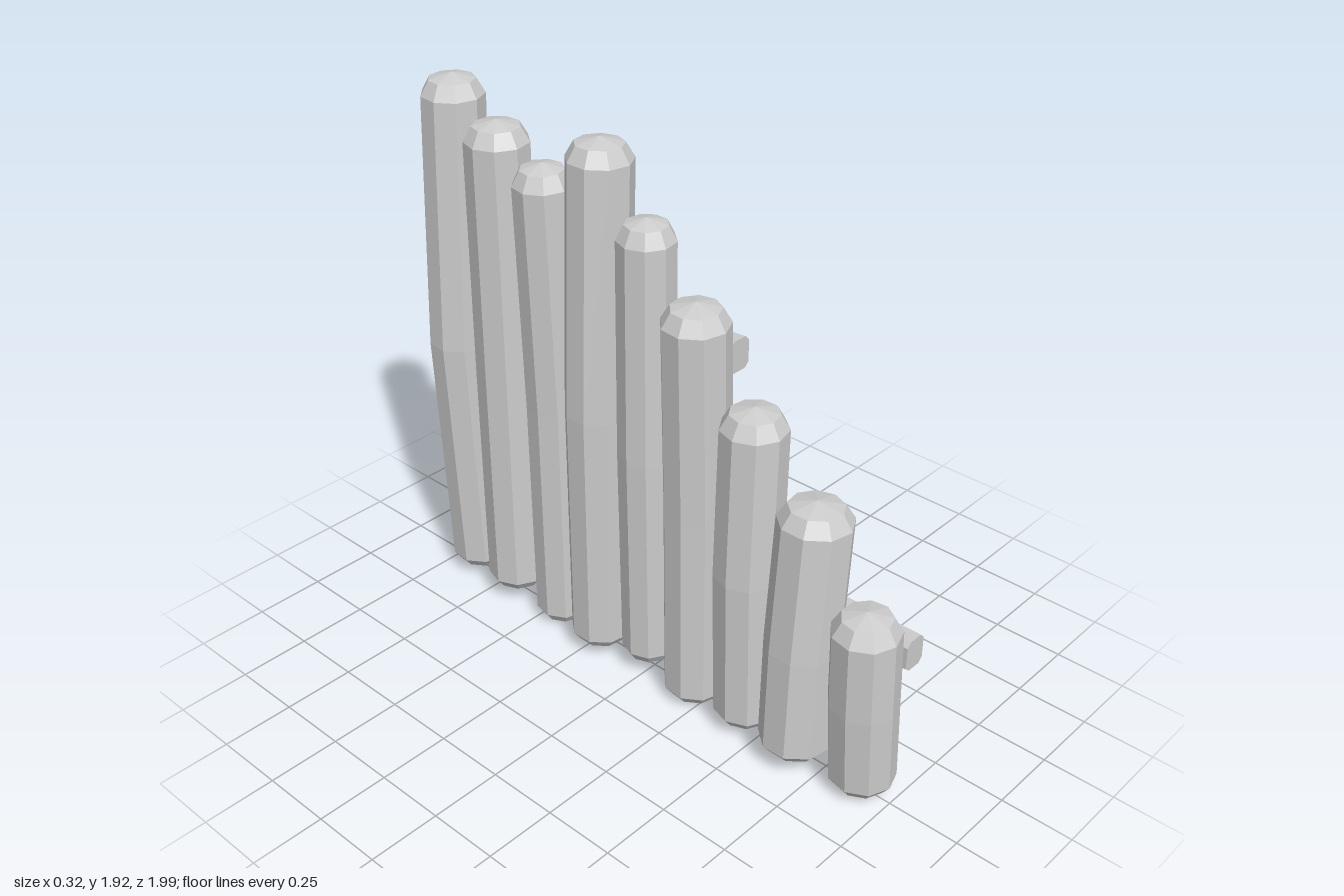
import * as THREE from 'three';

const material = new THREE.MeshStandardMaterial({ color: 0xcccccc, flatShading: true });

// Skins a list of equal rings and closes both ends with a fan to an apex.
// Rings run counter-clockwise seen from the end of the path.
function loft(rings, startApex, endApex) {
  const pos = [];
  const tri = (...pts) => pts.forEach((p) => pos.push(p.x, p.y, p.z));
  const n = rings[0].length;
  const last = rings[rings.length - 1];
  for (let j = 0; j < n; j++) {
    const k = (j + 1) % n;
    for (let i = 0; i < rings.length - 1; i++) {
      const a = rings[i], b = rings[i + 1];
      tri(a[j], a[k], b[k]);
      tri(a[j], b[k], b[j]);
    }
    tri(startApex, rings[0][k], rings[0][j]);
    tri(endApex, last[j], last[k]);
  }
  const geometry = new THREE.BufferGeometry();
  geometry.setAttribute('position', new THREE.Float32BufferAttribute(pos, 3));
  geometry.computeVertexNormals();
  return geometry;
}

// Upright log: bends through x at bottom, middle and top; chamfered ends
function log({ z, r, y0, y1, x, bend = 0.5, turn = 0 }) {
  const sides = 9;
  const ring = (cx, y, radius, tilt = 0) =>
    Array.from({ length: sides }, (_, j) => {
      const a = turn - (j / sides) * Math.PI * 2;
      const dx = Math.cos(a) * radius, dz = Math.sin(a) * radius;
      return new THREE.Vector3(cx + dx, y + dx * tilt, z + dz);
    });
  const [xb, xm, xt] = x;
  const tilt = (xb - xt) * 0.8;
  const rings = [
    ring(xb, y0 + 0.015, r * 0.74),
    ring(xb, y0 + 0.05, r * 0.98),
    ring(xm, y0 + (y1 - y0) * bend, r),
    ring(xt, y1 - 0.07, r * 0.98, tilt),
    ring(xt, y1 - 0.02, r * 0.72, tilt),
  ];
  return loft(rings, new THREE.Vector3(xb, y0, z), new THREE.Vector3(xt, y1, z));
}

// Rail: chamfered bar running toward -z through [z, y] stations
function rail(stations) {
  const x = 0.122, w = 0.042, h = 0.055, c = 0.017;
  const section = [
    [w, -h + c], [w, h - c], [w - c, h], [-w + c, h],
    [-w, h - c], [-w, -h + c], [-w + c, -h], [w - c, -h],
  ].reverse();
  const rings = stations.map(([z, y]) =>
    section.map(([dx, dy]) => new THREE.Vector3(x + dx, y + dy, z)));
  const end = ([z, y]) => new THREE.Vector3(x, y, z);
  return loft(rings, end(stations[0]), end(stations[stations.length - 1]));
}

export function createModel() {
  const group = new THREE.Group();
  group.name = 'logFence';
  const add = (name, geometry) => {
    const mesh = new THREE.Mesh(geometry, material);
    mesh.name = name;
    group.add(mesh);
  };

  // Logs, from the short front one to the tall back one
  const logs = [
    { z: 0.885, r: 0.113, y0: 0.01, y1: 0.71, x: [0, -0.022, -0.035], turn: 0.2 },
    { z: 0.652, r: 0.124, y0: 0.05, y1: 0.98, x: [-0.042, -0.03, 0], bend: 0.45, turn: 0 },
    { z: 0.425, r: 0.111, y0: 0.03, y1: 1.22, x: [-0.02, -0.035, -0.025], turn: 0.3 },
    { z: 0.197, r: 0.113, y0: 0, y1: 1.49, x: [-0.01, -0.015, -0.035], turn: 0.1 },
    { z: -0.015, r: 0.097, y0: 0.05, y1: 1.69, x: [-0.01, -0.02, -0.02], turn: 0.35 },
    { z: -0.22, r: 0.111, y0: 0.03, y1: 1.885, x: [-0.035, -0.035, -0.005], turn: 0 },
    { z: -0.442, r: 0.101, y0: 0, y1: 1.75, x: [-0.005, -0.01, -0.035], turn: 0.2 },
    { z: -0.66, r: 0.111, y0: 0.05, y1: 1.83, x: [-0.02, -0.02, -0.02], turn: 0.3 },
    { z: -0.884, r: 0.109, y0: 0.03, y1: 1.925, x: [0, -0.035, 0], turn: 0.1 },
  ];
  logs.forEach((spec, i) => add(`log${i + 1}`, log(spec)));

  // Rails on the left side
  add('lowerRail', rail([[0.96, 0.505], [0.35, 0.505], [-0.35, 0.475], [-0.96, 0.505]]));
  add('upperRail', rail([[0.24, 1.265], [0.08, 1.255], [-0.35, 1.23], [-0.96, 1.26]]));

  return group;
}
